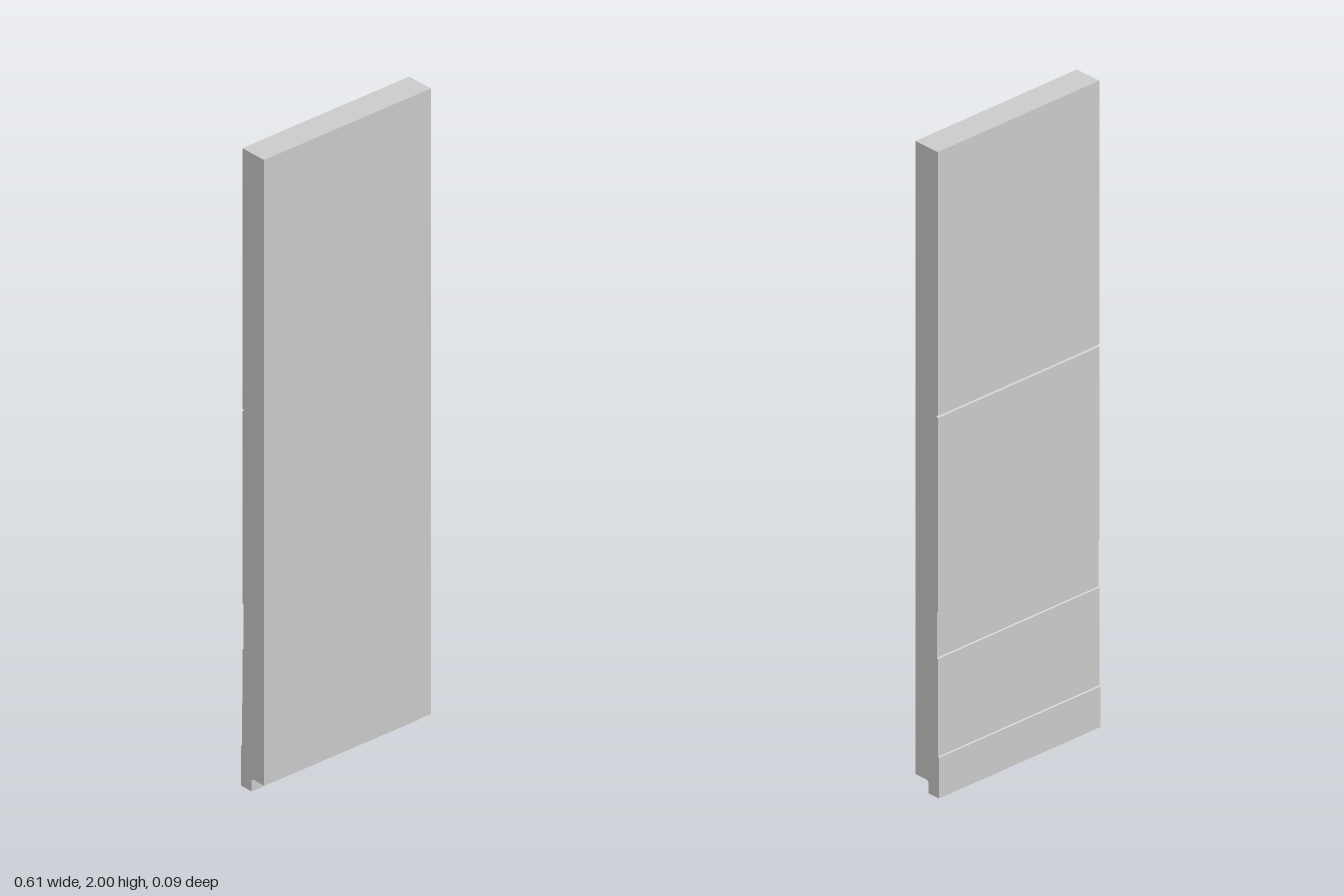
import * as THREE from 'three';

export function createModel() {
  const group = new THREE.Group();
  const width = 0.608;
  const material = new THREE.MeshStandardMaterial({ color: 0xcccccc, flatShading: true });

  // Side profile of the panel as [z, y], running up the front and down the back
  const profile = [
    [-0.047, 0], [-0.004, 0], [-0.004, 0.035], [0, 0.04], [0.047, 0.04], [0.047, 2],
    [-0.042, 2],
    [-0.042, 1.184], [-0.036, 1.182], [-0.036, 1.178], [-0.042, 1.176], // shallow groove
    [-0.042, 0.575], [-0.038, 0.572], [-0.038, 0.432], [-0.042, 0.43],  // recessed band
    [-0.043, 0.128], [-0.047, 0.126],                                   // thicker foot
  ];
  const shape = new THREE.Shape(profile.map(([z, y]) => new THREE.Vector2(z, y)));
  const geometry = new THREE.ExtrudeGeometry(shape, { depth: width, bevelEnabled: false });
  geometry.translate(0, 0, -width / 2);
  geometry.rotateY(-Math.PI / 2);

  const panel = new THREE.Mesh(geometry, material);
  panel.name = 'panel';
  group.add(panel);
  return group;
}
